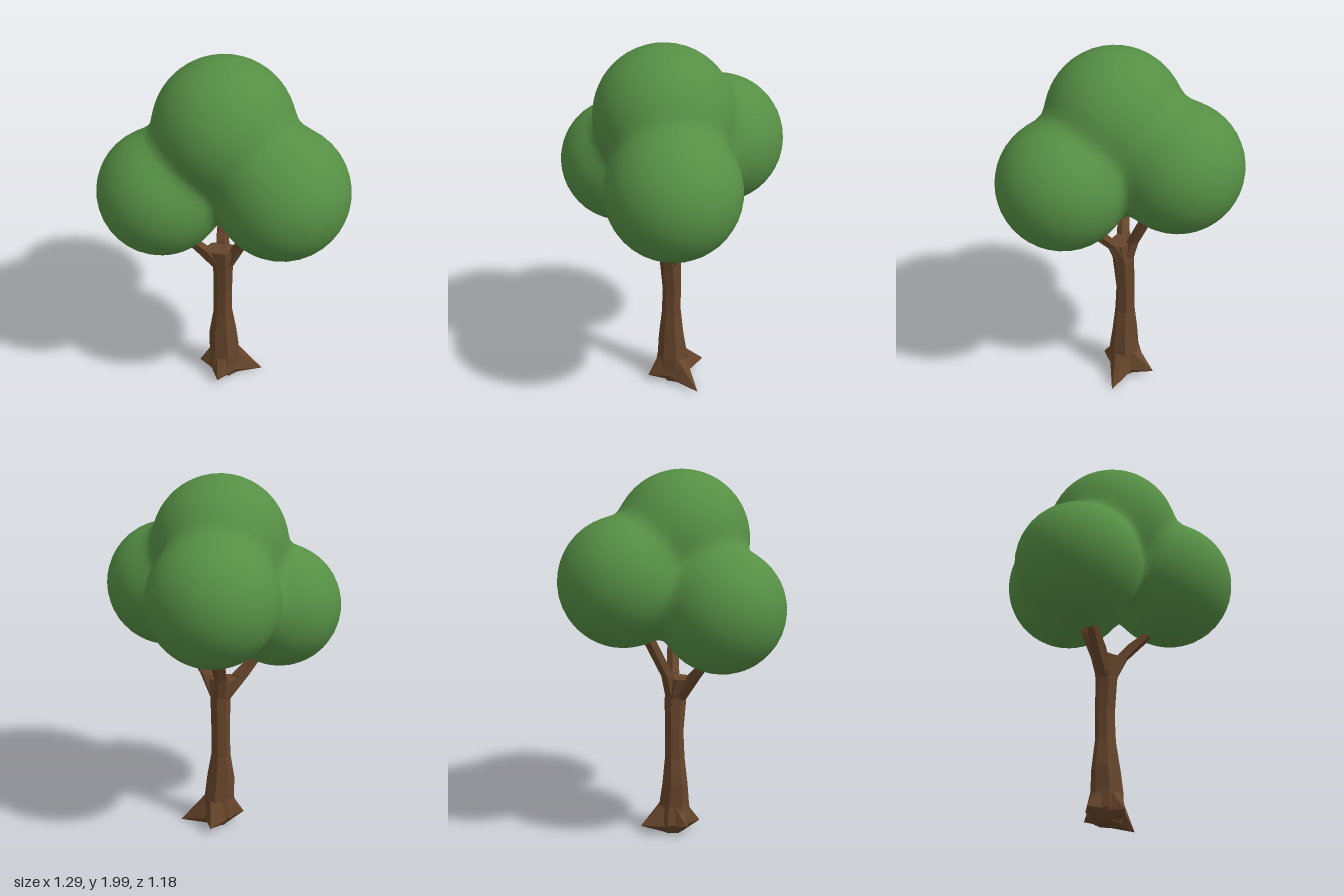
import * as THREE from 'three';
import { mergeVertices } from 'three/addons/utils/BufferGeometryUtils.js';
import { ConvexGeometry } from 'three/addons/geometries/ConvexGeometry.js';

const leafGreen = new THREE.MeshStandardMaterial({ color: 0x568f45 });
leafGreen.name = 'leafGreen';
const barkBrown = new THREE.MeshStandardMaterial({ color: 0x66452b });
barkBrown.name = 'barkBrown';

// Faceted limb lofted through level rings [x, y, z, radiusX, radiusZ], bottom to top, capped
function limb(rings, sides, turn = 0) {
  const pos = [], index = [];
  rings.forEach(([x, y, z, rx, rz]) => {
    for (let i = 0; i < sides; i++) {
      const a = turn + (i / sides) * Math.PI * 2;
      pos.push(x + Math.sin(a) * rx, y, z + Math.cos(a) * rz);
    }
  });
  for (let r = 0; r < rings.length - 1; r++) {
    for (let i = 0; i < sides; i++) {
      const a = r * sides + i, b = r * sides + (i + 1) % sides;
      index.push(a, b, b + sides, a, b + sides, a + sides);
    }
  }
  const top = (rings.length - 1) * sides;
  for (let i = 1; i < sides - 1; i++) {
    index.push(0, i + 1, i, top, top + i, top + i + 1);
  }
  const g = new THREE.BufferGeometry();
  g.setAttribute('position', new THREE.Float32BufferAttribute(pos, 3));
  g.setIndex(index);
  const flat = g.toNonIndexed();
  flat.computeVertexNormals();
  return flat;
}

// Wedge-shaped root from the foot of the trunk out to a tip
function root(tx, ty, tz) {
  const c = new THREE.Vector3(0, 0, 0.05);
  const d = new THREE.Vector3(tx, 0, tz).sub(c).normalize();
  const s = new THREE.Vector3(d.z, 0, -d.x);
  const at = (out, side, y) => c.clone().addScaledVector(d, out).addScaledVector(s, side).setY(y);
  return new ConvexGeometry([
    at(0.07, 0.03, 0.16), at(0.07, -0.03, 0.16), at(0.05, 0.075, 0.05), at(0.05, -0.075, 0.05),
    at(0.04, 0.04, 0), at(0.04, -0.04, 0), new THREE.Vector3(tx, ty, tz),
  ]);
}

// Crown lobes [x, y, z, radius]
const LOBES = [
  [0, 1.635, 0.1, 0.36],
  [-0.315, 1.29, 0.165, 0.33],
  [0.302, 1.365, 0.245, 0.342],
  [-0.01, 1.425, -0.248, 0.342],
];

// Softly blended distance to the union of the lobes
function crownField(p) {
  const k = 0.025;
  let sum = 0;
  for (const [x, y, z, r] of LOBES) {
    sum += Math.exp((r - Math.hypot(p.x - x, p.y - y, p.z - z)) / k);
  }
  return -k * Math.log(sum);
}

// Sphere whose vertices are pushed out along rays to the blended surface
function crown() {
  let g = new THREE.IcosahedronGeometry(1, 13);
  g.deleteAttribute('normal');
  g.deleteAttribute('uv');
  g = mergeVertices(g, 1e-4);
  const centre = new THREE.Vector3(0, 1.42, 0.08);
  const p = g.attributes.position, dir = new THREE.Vector3(), q = new THREE.Vector3();
  for (let i = 0; i < p.count; i++) {
    dir.fromBufferAttribute(p, i).normalize();
    let lo = 0, hi = 1;
    for (let n = 0; n < 24; n++) {
      const mid = (lo + hi) / 2;
      q.copy(centre).addScaledVector(dir, mid);
      if (crownField(q) < 0) lo = mid; else hi = mid;
    }
    q.copy(centre).addScaledVector(dir, lo);
    p.setXYZ(i, q.x, q.y, q.z);
  }
  g.computeVertexNormals();
  return g;
}

export function createModel() {
  const tree = new THREE.Group();
  tree.name = 'tree';
  const add = (name, geometry, material) => {
    const m = new THREE.Mesh(geometry, material);
    m.name = name;
    tree.add(m);
  };

  add('crown', crown(), leafGreen);

  add('trunk', limb([
    [0.01, 0, 0.05, 0.07, 0.07],
    [-0.01, 0.06, 0.05, 0.1, 0.1],
    [0, 0.16, 0.055, 0.088, 0.085],
    [-0.008, 0.28, 0.055, 0.082, 0.07],
    [-0.01, 0.43, 0.054, 0.056, 0.056],
    [-0.01, 0.58, 0.05, 0.054, 0.052],
    [-0.007, 0.77, 0.06, 0.057, 0.062],
    [-0.02, 0.885, 0.075, 0.085, 0.06],
  ], 7, 0.3), barkBrown);

  // Roots
  add('rightRoot', root(-0.145, 0.065, 0.06), barkBrown);
  add('frontRoot', root(-0.03, 0.04, 0.205), barkBrown);
  add('leftRoot', root(0.215, 0, 0.03), barkBrown);
  add('backRoot', root(0.02, 0.05, -0.14), barkBrown);

  // Branches reaching into the lobes
  add('rightBranch', limb([
    [-0.03, 0.76, 0.07, 0.03, 0.04],
    [-0.115, 0.9, 0.11, 0.05, 0.035],
    [-0.19, 0.99, 0.14, 0.035, 0.03],
    [-0.27, 1.1, 0.16, 0.02, 0.02],
  ], 5, 0.6), barkBrown);
  add('leftBranch', limb([
    [0.015, 0.76, 0.06, 0.03, 0.04],
    [0.07, 0.9, 0.09, 0.04, 0.035],
    [0.15, 1.0, 0.13, 0.045, 0.03],
    [0.26, 1.12, 0.2, 0.025, 0.02],
  ], 5, 0.2), barkBrown);
  add('backBranch', limb([
    [-0.01, 0.76, 0.04, 0.04, 0.035],
    [-0.02, 0.9, 0.005, 0.038, 0.035],
    [-0.005, 1.08, -0.085, 0.045, 0.035],
    [0.01, 1.22, -0.14, 0.025, 0.025],
  ], 5, 0.4), barkBrown);

  return tree;
}
